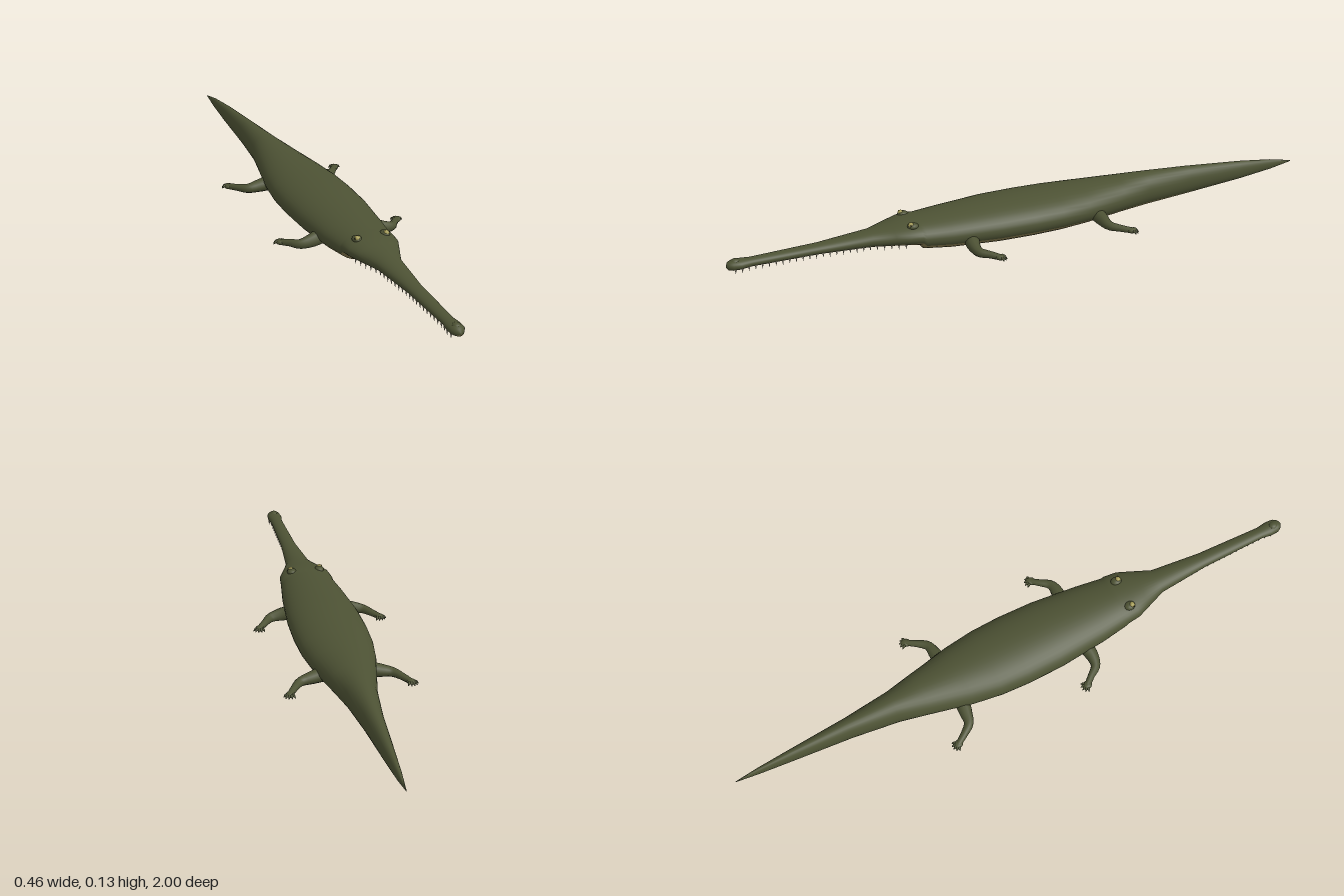
import * as THREE from 'three';

const mat = (name, color) => {
  const m = new THREE.MeshStandardMaterial({ color });
  m.name = name;
  return m;
};

// Key body sections: z, half width, bottom, top
const SECTIONS = [
  [1, 0.003, 0.06, 0.068], [0.994, 0.014, 0.053, 0.078],
  [0.98, 0.023, 0.05, 0.083], [0.955, 0.025, 0.05, 0.083],
  [0.92, 0.02, 0.053, 0.081], [0.7, 0.026, 0.053, 0.087],
  [0.53, 0.042, 0.047, 0.1], [0.46, 0.07, 0.044, 0.112],
  [0.42, 0.086, 0.042, 0.118], [0.378, 0.091, 0.036, 0.12],
  [0.366, 0.092, 0.019, 0.12], [0.28, 0.105, 0.009, 0.125],
  [0.12, 0.121, 0.001, 0.133], [0, 0.124, 0, 0.133],
  [-0.1, 0.12, 0.001, 0.132], [-0.2, 0.106, 0.004, 0.13],
  [-0.34, 0.075, 0.011, 0.13], [-0.44, 0.053, 0.015, 0.129],
  [-0.6, 0.033, 0.024, 0.121], [-0.8, 0.018, 0.04, 0.104],
  [-0.92, 0.009, 0.054, 0.089], [-1, 0.001, 0.069, 0.072],
];

// Sine of the angle where back meets belly: low on the snout, narrowing along the tail
const bellyLine = (z) =>
  -0.35 - 0.25 * THREE.MathUtils.smoothstep(z, 0.37, 0.58)
  - 0.64 * THREE.MathUtils.clamp((-0.05 - z) / 0.85, 0, 1);

// Half width, bottom and top at any z
function sectionAt(z) {
  const i = SECTIONS.findIndex((s) => s[0] <= z);
  const a = SECTIONS[i - 1], b = SECTIONS[i];
  const t = (a[0] - z) / (a[0] - b[0]);
  return a.map((v, k) => v + (b[k] - v) * t);
}

// One skin from snout to tail: back faces in group 0, belly faces in group 1
function bodyGeometry() {
  const BACK = 24, BELLY = 12, N = BACK + BELLY;
  const pos = [], back = [], belly = [];
  for (const [z, w, lo, hi] of SECTIONS) {
    const start = Math.asin(bellyLine(z));
    const backArc = Math.PI - 2 * start;
    for (let j = 0; j < N; j++) {
      const a = j <= BACK
        ? start + (backArc * j) / BACK
        : start + backArc + ((2 * Math.PI - backArc) * (j - BACK)) / BELLY;
      pos.push(w * Math.cos(a), (lo + hi) / 2 + ((hi - lo) / 2) * Math.sin(a), z);
    }
  }
  for (let i = 0; i < SECTIONS.length - 1; i++) {
    for (let j = 0; j < N; j++) {
      const a = i * N + j, b = i * N + ((j + 1) % N), c = a + N, d = b + N;
      (j < BACK ? back : belly).push(a, c, b, b, c, d);
    }
  }
  // End caps
  const last = (SECTIONS.length - 1) * N;
  for (let j = 1; j < N - 1; j++) back.push(0, j, j + 1, last, last + j + 1, last + j);
  const g = new THREE.BufferGeometry();
  g.setAttribute('position', new THREE.Float32BufferAttribute(pos, 3));
  g.setIndex([...back, ...belly]);
  g.addGroup(0, back.length, 0);
  g.addGroup(back.length, belly.length, 1);
  g.computeVertexNormals();
  return g;
}

// Tube whose radius follows a list of values along its length
function taperedTube(points, radii, segs = 16, sides = 10) {
  const curve = new THREE.CatmullRomCurve3(points.map((p) => new THREE.Vector3(...p)));
  const g = new THREE.TubeGeometry(curve, segs, 1, sides, false);
  const p = g.attributes.position, v = new THREE.Vector3();
  for (let i = 0; i <= segs; i++) {
    const c = curve.getPointAt(i / segs);
    const f = (i / segs) * (radii.length - 1), k = Math.min(Math.floor(f), radii.length - 2);
    const r = THREE.MathUtils.lerp(radii[k], radii[k + 1], f - k);
    for (let j = 0; j <= sides; j++) {
      const n = i * (sides + 1) + j;
      v.fromBufferAttribute(p, n).sub(c).multiplyScalar(r).add(c);
      p.setXYZ(n, v.x, v.y, v.z);
    }
  }
  return g;
}

export function createModel() {
  const skin = mat('olive skin', 0x4d5234);
  const bellySkin = mat('tan belly', 0x857a4e);
  const eyeMat = mat('yellow eye', 0xa39a55);
  const pupilMat = mat('dark pupil', 0x15150f);
  const toothMat = mat('ivory tooth', 0xcfc6b0);

  const model = new THREE.Group();
  model.name = 'longSnoutedReptile';
  const add = (parent, name, geo, material, x = 0, y = 0, z = 0) => {
    const m = new THREE.Mesh(geo, material);
    m.name = name;
    m.position.set(x, y, z);
    parent.add(m);
    return m;
  };

  add(model, 'body', bodyGeometry(), [skin, bellySkin]);
  add(model, 'noseBump', new THREE.SphereGeometry(1, 16, 10), skin, 0, 0.077, 0.97).scale.set(0.014, 0.01, 0.016);

  const toothGeo = new THREE.ConeGeometry(0.0032, 0.018, 6).rotateX(Math.PI);
  for (const s of [1, -1]) {
    const side = s > 0 ? 'left' : 'right';

    // Eyes on raised sockets
    add(model, side + 'EyeSocket', new THREE.SphereGeometry(1, 14, 10), skin, s * 0.048, 0.111, 0.4).scale.set(0.016, 0.011, 0.019);
    add(model, side + 'Eye', new THREE.SphereGeometry(0.0095, 14, 10), eyeMat, s * 0.05, 0.116, 0.407);
    add(model, side + 'Pupil', new THREE.SphereGeometry(1, 8, 6), pupilMat, s * 0.0585, 0.1175, 0.41).scale.set(0.0015, 0.005, 0.002);

    // Teeth along the jaw line
    const teeth = new THREE.Group();
    teeth.name = side + 'Teeth';
    model.add(teeth);
    for (let i = 0; i < 26; i++) {
      const z = 0.43 + i * 0.0218;
      const [, w, lo, hi] = sectionAt(z);
      add(teeth, 'tooth', toothGeo, toothMat, s * w * 0.8, (lo + hi) / 2 - (hi - lo) * 0.3 - 0.007, z);
    }

    // Legs sprawl outward, then bend to the rear
    const legs = [
      ['FrontLeg', [[0.085, 0.05, 0.215], [0.125, 0.042, 0.223], [0.16, 0.035, 0.218], [0.184, 0.032, 0.19], [0.205, 0.028, 0.165]]],
      ['HindLeg', [[0.07, 0.05, -0.23], [0.115, 0.042, -0.235], [0.15, 0.036, -0.242], [0.176, 0.032, -0.272], [0.196, 0.028, -0.302]]],
    ];
    for (const [name, path] of legs) {
      const leg = new THREE.Group();
      leg.name = side + name;
      model.add(leg);
      const pts = path.map(([x, y, z]) => [s * x, y, z]);
      add(leg, 'limb', taperedTube(pts, [0.026, 0.022, 0.016, 0.012, 0.01]), skin);
      const [px, py, pz] = pts[4];
      const paw = add(leg, 'paw', new THREE.SphereGeometry(1, 14, 10), skin, px, py, pz);
      paw.scale.set(0.014, 0.009, 0.017);
      paw.rotation.y = -s * 0.6;
      // Fanned toes
      for (let k = 0; k < 5; k++) {
        const a = -0.65 + k * 0.5;
        const dx = s * Math.sin(a), dz = -Math.cos(a);
        add(leg, 'toe', taperedTube([
          [px + dx * 0.006, py, pz + dz * 0.006],
          [px + dx * 0.014, py + 0.001, pz + dz * 0.014],
          [px + dx * 0.023, py - 0.006, pz + dz * 0.023],
        ], [0.006, 0.0048, 0.0008], 6, 7), skin);
      }
    }
  }
  return model;
}
